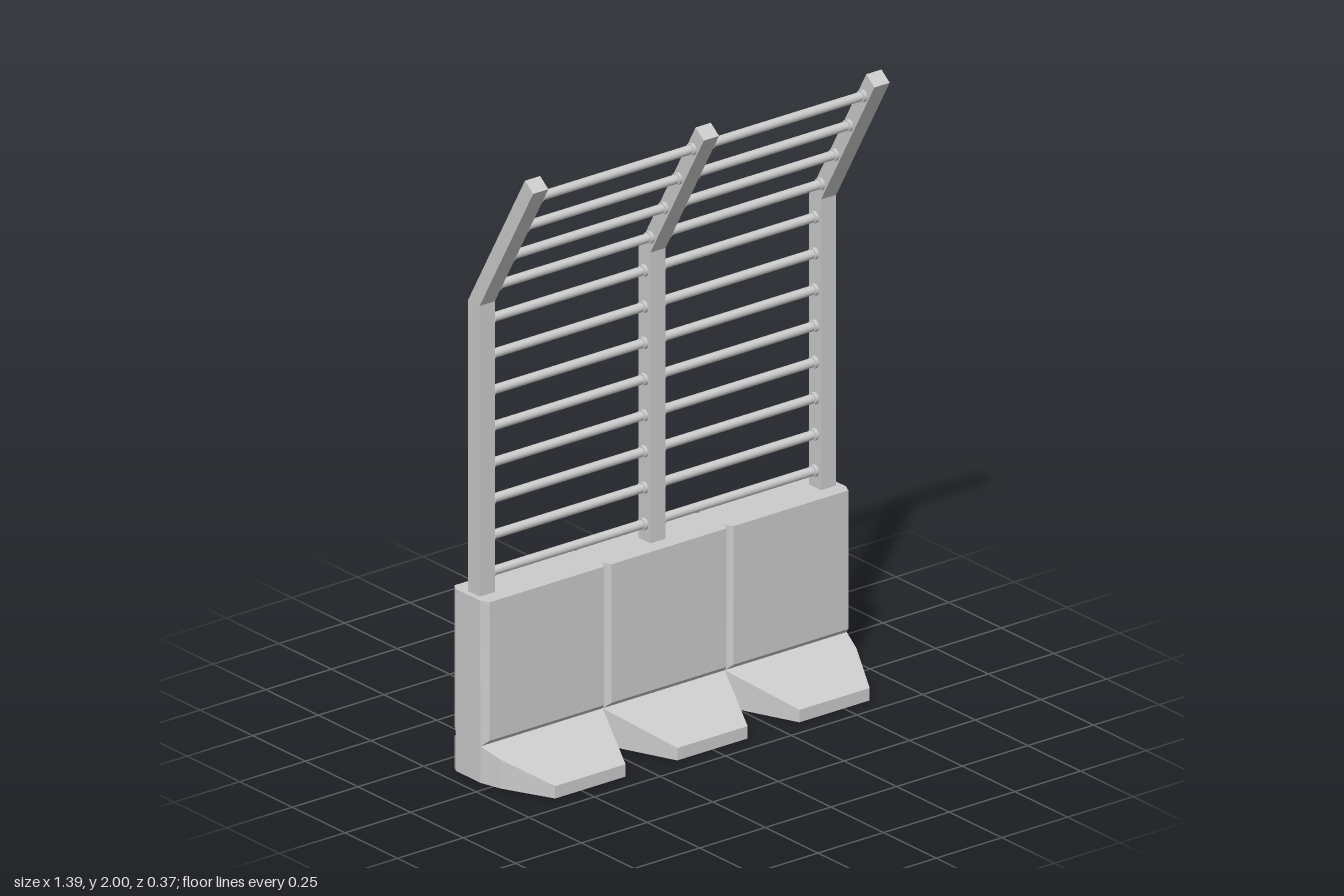
import * as THREE from 'three';
import { ConvexGeometry } from 'three/addons/geometries/ConvexGeometry.js';

const W = 0.2325; // half width of one concrete block
const BACK = -0.187, FRONT = -0.02, TOP = 0.587;
const POST_X = [-0.65, 0, 0.65];

export function createModel() {
  const model = new THREE.Group();
  const concrete = new THREE.MeshStandardMaterial({ color: 0xcccccc, flatShading: true });
  const steel = new THREE.MeshStandardMaterial({ color: 0xcccccc });

  const add = (parent, name, geometry, material) => {
    const mesh = new THREE.Mesh(geometry, material);
    mesh.name = name;
    parent.add(mesh);
    return mesh;
  };
  const v = (x, y, z) => new THREE.Vector3(x, y, z);

  // Concrete blocks: chamfered wall above a groove, splayed foot below
  for (const i of [-1, 0, 1]) {
    const block = new THREE.Group();
    block.name = 'concreteBlock';
    block.position.x = i * 2 * W;
    model.add(block);

    const wall = [], foot = [];
    for (const s of [-1, 1]) {
      for (const y of [0.14, TOP]) {
        wall.push(
          v(s * (W - 0.014), y, BACK), v(s * W, y, BACK + 0.024),
          v(s * W, y, -0.048), v(s * (W - 0.014), y, FRONT));
      }
      // bottom of the groove, shared by wall and foot
      for (const z of [-0.162, -0.045]) {
        wall.push(v(s * W, 0.118, z));
        foot.push(v(s * W, 0.118, z), v(s * W, 0, z));
      }
      for (const y of [0, 0.1]) foot.push(v(s * (W - 0.014), y, BACK));
      for (const y of [0, 0.04]) foot.push(v(s * 0.134, y, 0.187));
      // the outer ends bulge a little more than the inner sides
      if (s === i) for (const y of [0, 0.0935]) foot.push(v(s * 0.213, y, 0.026));
    }
    add(block, 'wall', new ConvexGeometry(wall), concrete);
    add(block, 'foot', new ConvexGeometry(foot), concrete);
  }

  // Posts: bent side profile (z, y) extruded across x
  const profile = new THREE.Shape([
    [-0.128, TOP - 0.02], [-0.072, TOP - 0.02], [-0.072, 1.525],
    [0.182, 1.97], [0.143, 2], [-0.128, 1.525],
  ].map(([z, y]) => new THREE.Vector2(-z, y)));
  const postGeo = new THREE.ExtrudeGeometry(profile, { depth: 0.058, bevelEnabled: false });
  postGeo.translate(0, 0, -0.029);
  postGeo.rotateY(Math.PI / 2); // shape x becomes -z
  for (const x of POST_X) add(model, 'post', postGeo, concrete).position.x = x;

  // Horizontal rails with a collar at each end
  const length = 0.592, mid = 0.325;
  const railGeo = new THREE.CylinderGeometry(0.0145, 0.0145, length, 16).rotateZ(Math.PI / 2);
  const collarGeo = new THREE.CylinderGeometry(0.019, 0.019, 0.012, 16).rotateZ(Math.PI / 2);
  for (let k = 0; k < 12; k++) {
    const y = 0.642 + k * 0.1168;
    const z = -0.1 + Math.max(0, y - 1.525) * 0.572;
    for (const s of [-1, 1]) {
      const rail = new THREE.Group();
      rail.name = 'rail';
      rail.position.set(s * mid, y, z);
      model.add(rail);
      add(rail, 'bar', railGeo, steel);
      for (const e of [-1, 1]) add(rail, 'collar', collarGeo, steel).position.x = e * (length / 2 - 0.006);
    }
  }
  return model;
}
